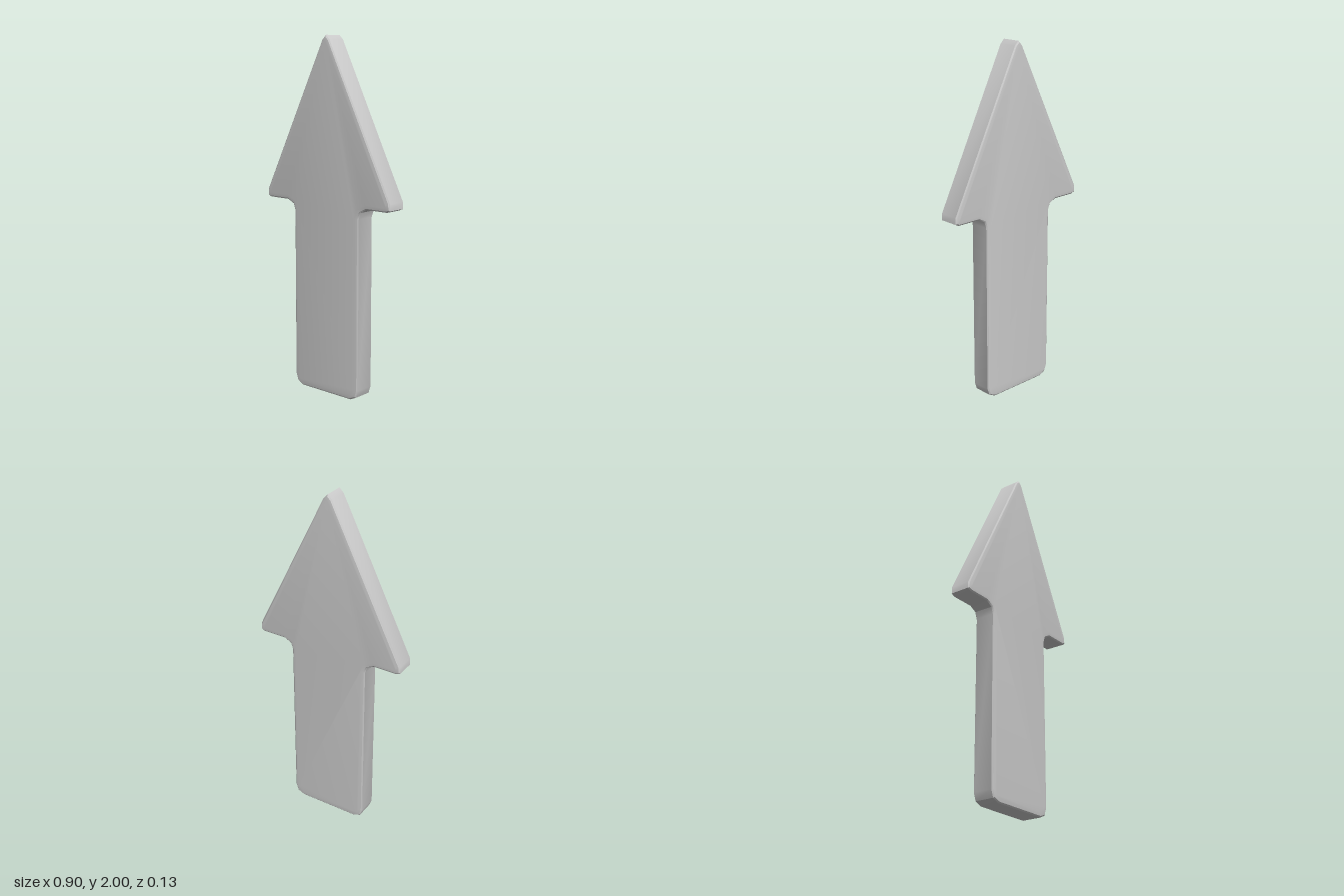
import * as THREE from 'three';
import { toCreasedNormals } from 'three/addons/utils/BufferGeometryUtils.js';

export function createModel() {
  const group = new THREE.Group();
  group.name = 'arrow';

  // Right half of the outline, from the foot of the shaft up to the tip
  const half = [
    [0.18, 0], [0.22, 0.018], [0.235, 0.06],            // rounded foot
    [0.235, 1.025], [0.248, 1.062], [0.29, 1.083],      // fillet under the head
    [0.428, 1.083], [0.449, 1.093], [0.447, 1.13],      // wing corner
    [0.025, 1.975],                                     // blunted tip
  ];
  const mirrored = half.map(([x, y]) => [-x, y]).reverse();
  const outline = [...half, [0, 2], ...mirrored].map(([x, y]) => new THREE.Vector2(x, y));

  // Flat plate with a soft shallow bevel on both faces, kept inside the outline
  const bevel = 0.024, lip = 0.0085, depth = 0.11;
  const plate = new THREE.ExtrudeGeometry(new THREE.Shape(outline), {
    depth,
    bevelEnabled: true,
    bevelThickness: lip,
    bevelSize: bevel,
    bevelOffset: -bevel,
    bevelSegments: 2,
  });
  plate.translate(0, 0, -depth / 2);

  const mesh = new THREE.Mesh(
    toCreasedNormals(plate, 0.5),
    new THREE.MeshStandardMaterial({ color: 0xcccccc }),
  );
  mesh.name = 'arrowPlate';
  group.add(mesh);
  return group;
}
